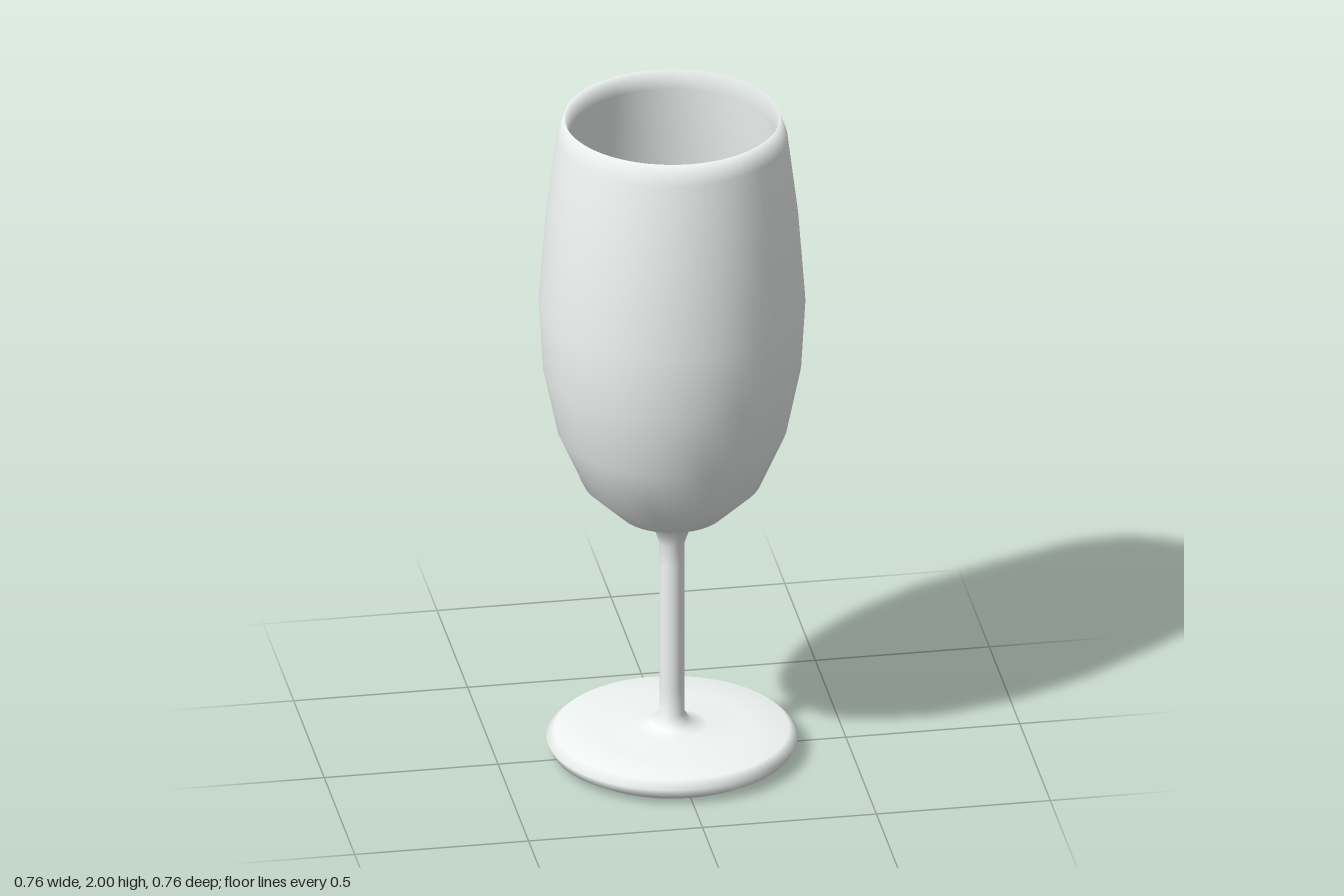
import * as THREE from 'three';

const SEGMENTS = 64;

// Revolve a list of [radius, height] pairs into a smooth named part
function turned(name, profile, material) {
  const points = profile.map(([r, y]) => new THREE.Vector2(r, y));
  const mesh = new THREE.Mesh(new THREE.LatheGeometry(points, SEGMENTS), material);
  mesh.name = name;
  return mesh;
}

export function createModel() {
  const group = new THREE.Group();
  group.name = 'wineGlass';
  const material = new THREE.MeshStandardMaterial({ color: 0xf1f6f4 });

  // Foot: flat underside, rounded edge, gently sloping top flaring into the stem
  const foot = [
    [0, 0.004], [0.15, 0.003], [0.307, 0], [0.344, 0.022], [0.357, 0.05], [0.333, 0.072],
    [0.22, 0.078], [0.1, 0.084], [0.058, 0.092], [0.036, 0.125], [0.035, 0.2],
  ];

  // Stem: plain slim shaft
  const stem = [[0.035, 0.2], [0.035, 0.6]];

  // Bowl: outer wall, rim sloping in to a soft lip, then the inner wall to the closed bottom
  const bowl = [
    [0.035, 0.6], [0.036, 0.66], [0.056, 0.72], [0.152, 0.762], [0.254, 0.86], [0.326, 1.025],
    [0.366, 1.22], [0.378, 1.425], [0.358, 1.69], [0.327, 1.94], [0.306, 2],
    [0.291, 1.945], [0.33, 1.69], [0.352, 1.425], [0.341, 1.22],
    [0.304, 1.035], [0.238, 0.88], [0.145, 0.79], [0.055, 0.753], [0, 0.75],
  ];

  group.add(
    turned('foot', foot, material),
    turned('stem', stem, material),
    turned('bowl', bowl, material),
  );
  return group;
}
